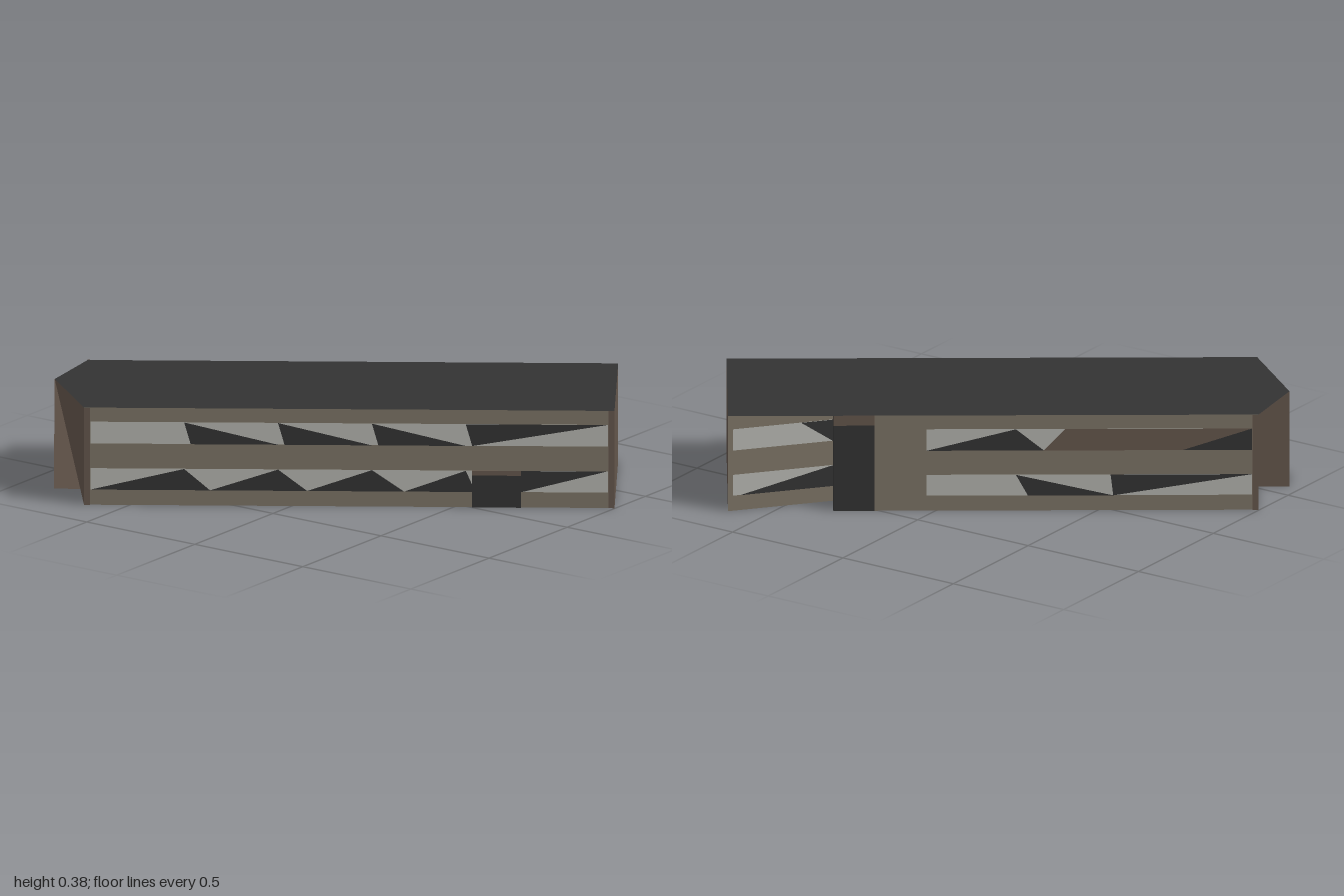
import * as THREE from 'three';

const paint = (name, color) => {
  const m = new THREE.MeshStandardMaterial({ color, side: THREE.DoubleSide, flatShading: true });
  m.name = name;
  return m;
};

export function createModel() {
  const brown = paint('brown cladding', 0x64564c);
  const taupe = paint('taupe wall', 0x7c7365);
  const pale = paint('pale window', 0xb4b4ae);
  const dark = paint('dark roof and glass', 0x333333);

  const H = 0.38, L = 0.995, W = 0.312;
  const building = new THREE.Group();
  building.name = 'building';

  // Flat convex face from corner points, as a fan
  function face(name, mat, pts) {
    const pos = [];
    for (let i = 1; i < pts.length - 1; i++) pos.push(...pts[0], ...pts[i], ...pts[i + 1]);
    const g = new THREE.BufferGeometry();
    g.setAttribute('position', new THREE.Float32BufferAttribute(pos, 3));
    g.computeVertexNormals();
    const mesh = new THREE.Mesh(g, mat);
    mesh.name = name;
    building.add(mesh);
  }

  // Face on a long wall; depth(u) gives the wall line, points are [u, y]
  const onWall = (name, mat, depth, pts, off = 0) =>
    face(name, mat, pts.map(([u, y]) => [u, y, depth(u) + off]));
  const rect = (a, b, y0, y1) => [[a, y0], [b, y0], [b, y1], [a, y1]];

  // Glass and panels show on both sides of the wall
  function inlay(name, mat, depth, pts) {
    for (const off of [-0.003, 0.003]) onWall(name, mat, depth, pts, off);
  }

  const LO = [0.06, 0.143], HI = [0.24, 0.325];
  // Wall section with two window bands between w0 and w1
  function wall(name, depth, a, b, w0, w1) {
    for (const [y0, y1] of [[0, LO[0]], [LO[1], HI[0]], [HI[1], H]])
      onWall(name, taupe, depth, rect(a, b, y0, y1));
    for (const [y0, y1] of [LO, HI]) {
      if (w0 > a) onWall(name, taupe, depth, rect(a, w0, y0, y1));
      if (b > w1) onWall(name, taupe, depth, rect(w1, b, y0, y1));
      onWall('windowBand', pale, depth, rect(w0, w1, y0, y1));
    }
  }
  // Each corner is [u, 0 bottom or 1 top of the band]
  const glass = (depth, band, corners, mat = dark) =>
    inlay('glass', mat, depth, corners.map(([u, t]) => [u, band[t]]));

  // Front wall with its edge posts
  const front = () => W;
  const U = x => (x - 0.18) * 1.214;
  wall('frontWall', front, -L, L, -0.97, 0.97);
  for (const s of [-1, 1]) inlay('cornerPost', brown, front, rect(s * 0.984 - 0.011, s * 0.984 + 0.011, 0, H));

  for (const x of [-0.33, -0.04, 0.25])
    glass(front, HI, [[U(x), 1], [U(x + 0.02), 0], [U(x + 0.29), 0]]);
  glass(front, HI, [[U(0.54), 1], [U(0.56), 0], [U(0.975), 1]]);
  for (const [a, b, c] of [[-0.62, -0.33, -0.25], [-0.25, -0.04, 0.05], [0.05, 0.25, 0.35], [0.35, 0.54, 0.57]])
    glass(front, LO, [[U(a), 0], [U(b), 1], [U(c), 0]]);
  glass(front, LO, [[U(0.71), 0], [U(0.71), 1], [U(0.975), 1]]);

  // Front door and lintel
  for (const [name, mat, y0, y1] of [['frontDoor', dark, 0, 0.125], ['lintel', brown, 0.125, 0.143]]) {
    const m = new THREE.Mesh(new THREE.BoxGeometry(U(0.71) - U(0.56), y1 - y0, 0.009), mat);
    m.position.set(U(0.635), (y0 + y1) / 2, W);
    m.name = name;
    building.add(m);
  }

  // Back wall: long straight section
  const back = () => -W;
  wall('backWall', back, -L, 0.445, -0.97, 0.25);
  inlay('cornerPost', brown, back, rect(-L, -0.973, 0, H));
  glass(back, HI, [[0.25, 0], [-0.085, 1], [-0.19, 0]]);
  glass(back, HI, [[-0.27, 1], [-0.19, 0], [-0.71, 0], [-0.97, 1]], brown);
  glass(back, HI, [[-0.71, 0], [-0.97, 1], [-0.97, 0]]);
  glass(back, LO, [[-0.085, 1], [-0.13, 0], [-0.45, 0]]);
  glass(back, LO, [[-0.44, 1], [-0.45, 0], [-0.97, 1]]);

  // Back wall: short section slanting inward to the entrance
  const slant = u => -W + (L - u) * 0.28;
  wall('slantedWall', slant, 0.6, L, 0.6, 0.975);
  glass(slant, HI, [[0.6, 0], [0.6, 1], [0.72, 1]]);
  glass(slant, LO, [[0.6, 0], [0.6, 1], [0.95, 0]]);

  // Back entrance: door, side return and lintel
  onWall('backDoor', dark, back, rect(0.445, 0.6, 0, 0.34));
  onWall('backLintel', brown, back, rect(0.445, 0.6, 0.34, H));
  face('entranceReturn', dark, [[0.6, 0, -W], [0.6, 0, slant(0.6)], [0.6, H, slant(0.6)], [0.6, H, -W]]);

  // Plain end wall
  face('endWall', brown, [[L, 0, W], [L, 0, -W], [L, H, -W], [L, H, W]]);

  // Porch end: half wall, side wall and folded faces under the roof point
  const P = 1.113, v0 = -0.06, v1 = 0.105;
  const tip = [-P, H, v0];
  face('porchEndWall', brown, [[-L, 0, -W], [-L, 0, v0], [-L, H, v0], [-L, H, -W]]);
  face('porchSide', brown, [[-L, 0, v0], [-P, 0, v0], tip, [-L, H, v0]]);
  face('porchFold', brown, [tip, [-P, 0, v0], [-P, 0, v1]]);
  face('porchFold', brown, [tip, [-P, 0, v1], [-L, 0, v1]]);
  face('porchFold', brown, [tip, [-L, 0, v1], [-L, 0, W]]);
  face('porchFold', brown, [tip, [-L, 0, W], [-L, H, W]]);

  // Flat roof with a pointed end
  face('roof', dark, [[L, H, -W], [-L, H, -W], tip, [-L, H, W], [L, H, W]]);

  building.rotation.y = 0.604;
  const model = new THREE.Group();
  model.add(building);
  return model;
}
